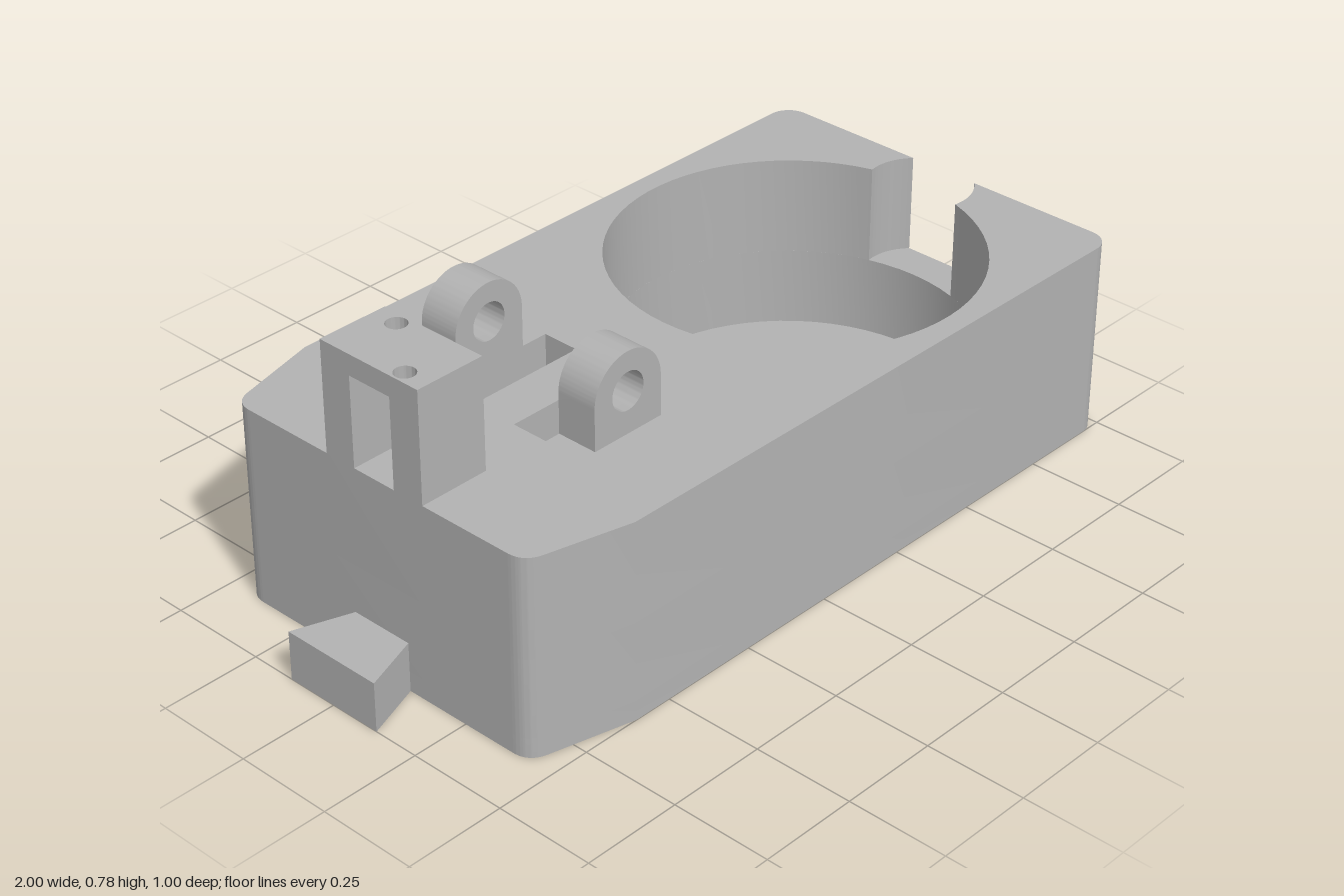
import * as THREE from 'three';
import { toCreasedNormals } from 'three/addons/utils/BufferGeometryUtils.js';

const gray = new THREE.MeshStandardMaterial({ color: 0xb2b2b2 });
gray.name = 'plain gray';

// Extrude a shape and keep its corners sharp
function extrude(shape, depth) {
  const g = new THREE.ExtrudeGeometry(shape, { depth, bevelEnabled: false, curveSegments: 32 });
  return toCreasedNormals(g, 0.5);
}

// Plan shape (x, -z) raised from y to y + height
function slab(name, shape, y, height) {
  const mesh = new THREE.Mesh(extrude(shape, height).rotateX(-Math.PI / 2), gray);
  mesh.name = name;
  mesh.position.y = y;
  return mesh;
}

function circle(x, y, r) {
  return new THREE.Path().absarc(x, y, r, 0, Math.PI * 2, false);
}

function rect(x0, x1, y0, y1) {
  return new THREE.Shape([[x0, y0], [x1, y0], [x1, y1], [x0, y1]].map(p => new THREE.Vector2(...p)));
}

const POCKET = { x: 0.46, r: 0.445 };
const NOTCH = { x: 0.91, r: 0.13, half: 0.094 };

// Body outline, open or closed at the middle of the +x end
function bodyOutline(half) {
  const s = new THREE.Shape();
  const r = 0.055;
  s.moveTo(1, half);
  s.lineTo(1, 0.5 - r);
  s.absarc(1 - r, 0.5 - r, r, 0, Math.PI / 2, false);
  s.lineTo(-0.6, 0.5);
  s.lineTo(-0.81, 0.4475);
  s.quadraticCurveTo(-0.855, 0.436, -0.855, 0.39);
  s.lineTo(-0.855, -0.39);
  s.quadraticCurveTo(-0.855, -0.436, -0.81, -0.4475);
  s.lineTo(-0.6, -0.5);
  s.lineTo(1 - r, -0.5);
  s.absarc(1 - r, -0.5 + r, r, -Math.PI / 2, 0, false);
  s.lineTo(1, -half);
  return s;
}

export function createModel() {
  const model = new THREE.Group();
  model.name = 'fixtureBlock';

  // Body floor, then the ring of wall up to the notch floor
  model.add(slab('bodyFloor', bodyOutline(0), 0, 0.05));
  const lower = bodyOutline(0);
  lower.holes.push(circle(POCKET.x, 0, POCKET.r));
  model.add(slab('bodyLower', lower, 0.05, 0.2));

  // Upper body: the round pocket opens through a curved notch at the end
  const upper = bodyOutline(NOTCH.half);
  const d = NOTCH.x - POCKET.x;
  const outer = Math.asin(NOTCH.half / NOTCH.r);
  const inner = Math.PI - Math.acos((NOTCH.r ** 2 + d ** 2 - POCKET.r ** 2) / (2 * NOTCH.r * d));
  const mouth = Math.asin(NOTCH.r * Math.sin(inner) / POCKET.r);
  upper.absarc(NOTCH.x, 0, NOTCH.r, -outer, -inner, true);
  upper.absarc(POCKET.x, 0, POCKET.r, -mouth, mouth, true);
  upper.absarc(NOTCH.x, 0, NOTCH.r, inner, outer, true);
  // Pair of slots beside the lugs
  upper.holes.push(rect(-0.51, -0.2, 0.06, 0.155), rect(-0.51, -0.2, -0.155, -0.06));
  model.add(slab('bodyUpper', upper, 0.25, 0.25));

  // Pierced lugs with round tops
  const lug = new THREE.Shape();
  lug.moveTo(-0.1, 0);
  lug.lineTo(0.1, 0);
  lug.lineTo(0.1, 0.102);
  lug.absarc(0, 0.102, 0.1, 0, Math.PI, false);
  lug.lineTo(-0.1, 0);
  lug.holes.push(circle(0, 0.105, 0.047));
  const lugGeometry = extrude(lug, 0.105).translate(0, 0, -0.0525);
  for (const side of [1, -1]) {
    const mesh = new THREE.Mesh(lugGeometry, gray);
    mesh.name = side > 0 ? 'frontLug' : 'backLug';
    mesh.position.set(-0.37, 0.5, side * 0.2075);
    model.add(mesh);
  }

  // Arch: two legs and a top plate with two screw holes
  for (const side of [1, -1]) {
    const leg = new THREE.Mesh(new THREE.BoxGeometry(0.18, 0.225, 0.085), gray);
    leg.name = side > 0 ? 'archFrontLeg' : 'archBackLeg';
    leg.position.set(-0.765, 0.6125, side * 0.1025);
    model.add(leg);
  }
  const plate = rect(-0.855, -0.675, -0.145, 0.145);
  plate.holes.push(circle(-0.705, 0.077, 0.025), circle(-0.825, -0.077, 0.025));
  model.add(slab('archTop', plate, 0.725, 0.052));

  // Dovetail key at the low end
  const key = new THREE.Shape([[-1, -0.133], [-0.855, -0.082], [-0.855, 0.082], [-1, 0.133]]
    .map(p => new THREE.Vector2(...p)));
  model.add(slab('dovetailKey', key, 0, 0.125));

  return model;
}
